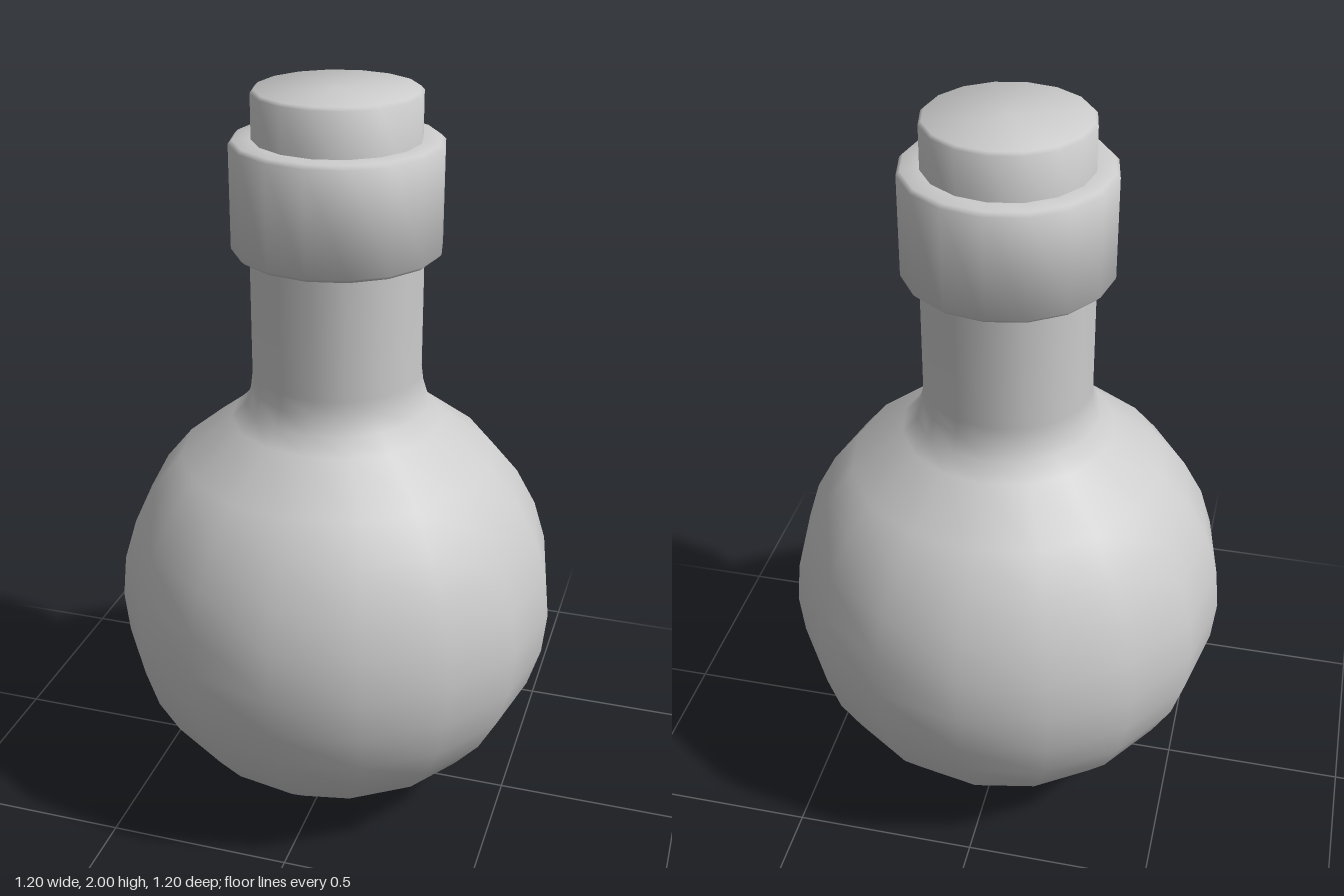
import * as THREE from 'three';
import { toCreasedNormals } from 'three/addons/utils/BufferGeometryUtils.js';

const SIDES = 16;

export function createModel() {
  const model = new THREE.Group();
  const material = new THREE.MeshStandardMaterial({ color: 0xcccccc });

  // Revolves a bottom-to-top [radius, height] profile
  const addTurned = (name, profile, creased) => {
    let geometry = new THREE.LatheGeometry(profile.map(([r, y]) => new THREE.Vector2(r, y)), SIDES);
    if (creased) geometry = toCreasedNormals(geometry, 0.9);
    const mesh = new THREE.Mesh(geometry, material);
    mesh.name = name;
    model.add(mesh);
  };

  // Round flask bulb up to its shoulder, then the flare and straight neck
  const R = 0.6;
  const body = [];
  for (let i = 0; i <= 12; i++) {
    const a = (i * Math.PI) / 16;
    body.push([R * Math.sin(a), R - R * Math.cos(a)]);
  }
  body.push([0.285, 1.13], [0.245, 1.17], [0.23, 1.22], [0.225, 1.26], [0.225, 1.62]);
  addTurned('flask', body, false);

  // Collar around the mouth, with narrow bevels
  addTurned('collar', [
    [0.2, 1.59], [0.262, 1.59], [0.272, 1.6], [0.272, 1.868], [0.262, 1.878], [0.2, 1.878],
  ], true);

  // Stopper
  addTurned('stopper', [
    [0.215, 1.8], [0.215, 1.992], [0.207, 2], [0, 2],
  ], true);

  return model;
}
